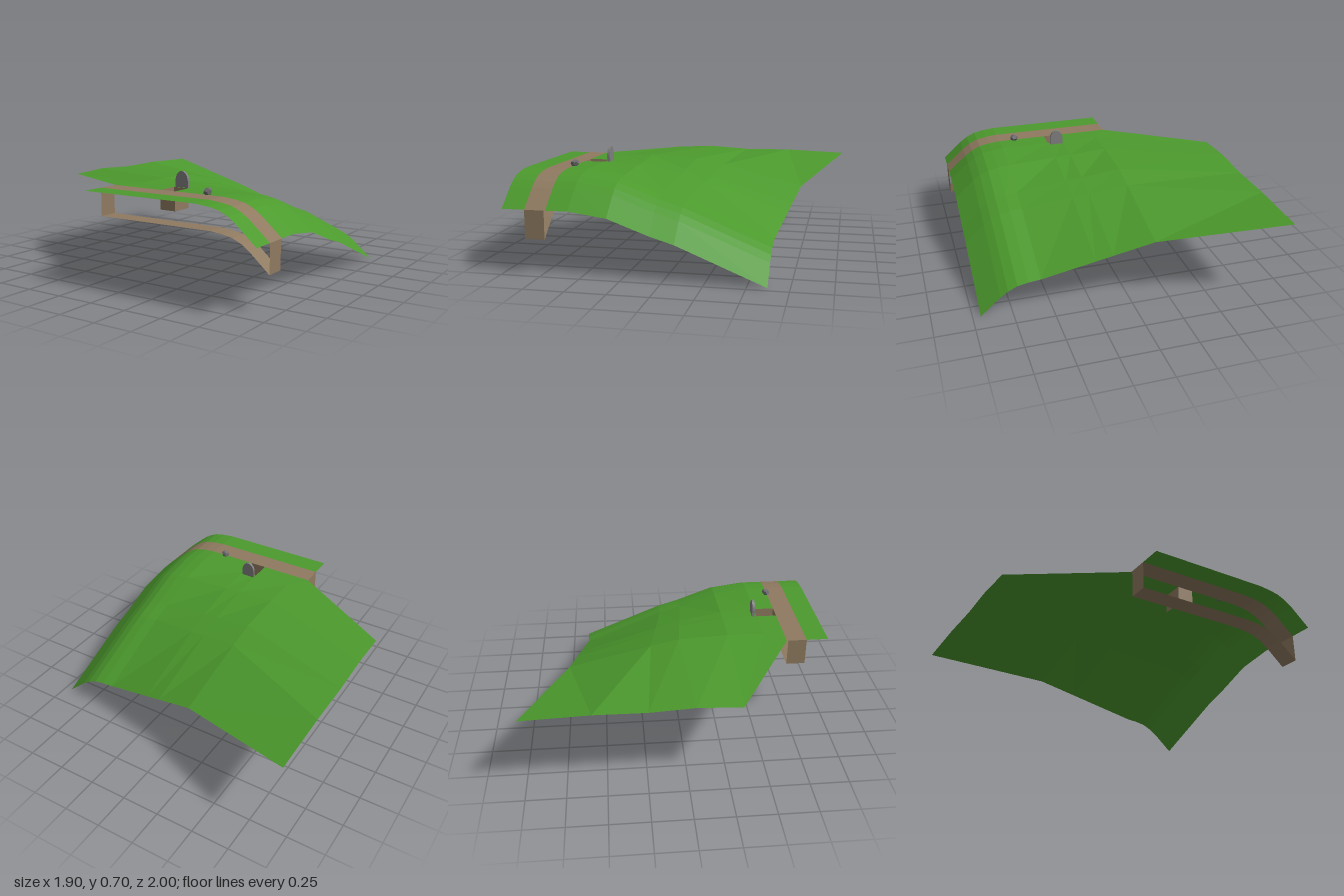
import * as THREE from 'three';

export function createModel() {
  const model = new THREE.Group();
  const grass = new THREE.MeshStandardMaterial({ color: 0x4c9a2d, side: THREE.DoubleSide });
  grass.name = 'grass green';
  const earth = new THREE.MeshStandardMaterial({ color: 0x8f7a60, side: THREE.DoubleSide });
  earth.name = 'earth brown';
  const stone = new THREE.MeshStandardMaterial({ color: 0x808080 });
  stone.name = 'stone grey';
  const darkStone = new THREE.MeshStandardMaterial({ color: 0x6c6c6e });
  darkStone.name = 'dark stone grey';

  function add(name, geometry, material) {
    const mesh = new THREE.Mesh(geometry, material);
    mesh.name = name;
    model.add(mesh);
    return mesh;
  }

  // Faceted sheet through rows of points, rows running front to back
  function sheet(rows, skip = () => false) {
    const pos = [];
    for (let i = 0; i + 1 < rows.length; i++) {
      for (let j = 0; j + 1 < rows[i].length; j++) {
        if (skip(i, j)) continue;
        const a = rows[i][j], b = rows[i][j + 1], c = rows[i + 1][j + 1], d = rows[i + 1][j];
        pos.push(...a, ...b, ...c, ...a, ...c, ...d);
      }
    }
    const g = new THREE.BufferGeometry();
    g.setAttribute('position', new THREE.Float32BufferAttribute(pos, 3));
    g.computeVertexNormals();
    return g;
  }

  // Rounded right shoulder: x and drop below the row's height
  const shoulder = [[0.56, 0], [0.64, 0.008], [0.71, 0.022], [0.77, 0.05], [0.82, 0.085], [0.95, 0.2]];
  const pitX = [0.11, 0.22];

  // One row from its far left, inner left and shoulder points
  function row(left, inner, y, z) {
    const between = pitX.map(x => {
      const t = (x - inner[0]) / (0.56 - inner[0]);
      return [x, inner[1] + (y - inner[1]) * t, inner[2] + (z - inner[2]) * t];
    });
    return [left, inner, ...between, ...shoulder.map(([x, drop]) => [x, y - drop, z])];
  }
  const flatRow = (z, y = 0.603) => row([-0.25, y, z], [0, y, z], y, z);

  // Hillside, with an opening for the pit
  const hill = [
    flatRow(0.72),
    row([-0.95, 0.575, 0.32], [-0.15, 0.603, 0.58], 0.603, 0.58),
    row([-0.95, 0.587, 0.04], [-0.15, 0.61, 0.34], 0.57, 0.34),
    row([-0.95, 0.57, -0.24], [-0.15, 0.593, 0.01], 0.475, 0.08),
    row([-0.95, 0.573, -0.57], [-0.15, 0.553, -0.18], 0.43, -0.07),
    row([-0.95, 0.557, -1], [-0.15, 0.415, -0.73], 0.205, -0.62),
  ];
  add('hillside', sheet(hill, (i, j) => i === 0 && j === 2), grass);

  // Front verge and the path beside it
  add('frontVerge', sheet([flatRow(1), flatRow(0.855)]), grass);
  add('path', sheet([flatRow(0.855), flatRow(0.72)]), earth);

  // Hollow passage under the path: floor and two end walls
  const depth = 0.18;
  add('passageFloor', sheet([flatRow(0.855, 0.603 - depth), flatRow(0.73, 0.603 - depth)]), earth);
  for (const [name, x, top] of [['passageLeftEnd', 0.95, 0.403], ['passageRightEnd', -0.25, 0.603]]) {
    const wall = add(name, new THREE.PlaneGeometry(0.125, depth), earth);
    wall.rotation.y = Math.sign(x) * Math.PI / 2;
    wall.position.set(x, top - depth / 2, 0.7925);
  }

  // Pit: four earth walls and a grass floor
  const corners = [[0.11, 0.72], [0.22, 0.72], [0.22, 0.58], [0.11, 0.58], [0.11, 0.72]];
  add('pitWalls', sheet([0.48, 0.603].map(y => corners.map(([x, z]) => [x, y, z]))), earth);
  const floor = add('pitFloor', new THREE.PlaneGeometry(0.11, 0.14), grass);
  floor.rotation.x = -Math.PI / 2;
  floor.position.set(0.165, 0.48, 0.65);

  // Upright slab with an arched top
  const arch = new THREE.Shape();
  arch.moveTo(-0.047, 0);
  arch.lineTo(0.047, 0);
  arch.lineTo(0.047, 0.04);
  arch.absellipse(0, 0.04, 0.047, 0.065, 0, Math.PI, false);
  arch.closePath();
  const slab = add('headstone',
    new THREE.ExtrudeGeometry(arch, { depth: 0.018, bevelEnabled: false, curveSegments: 8 }), stone);
  slab.position.set(0.16, 0.6, 0.55);

  // Small faceted rock
  const rock = add('rock', new THREE.DodecahedronGeometry(0.029, 0), darkStone);
  rock.scale.set(1, 0.85, 1);
  rock.rotation.set(0.3, 0.5, 0.2);
  rock.position.set(0.45, 0.622, 0.71);

  return model;
}
